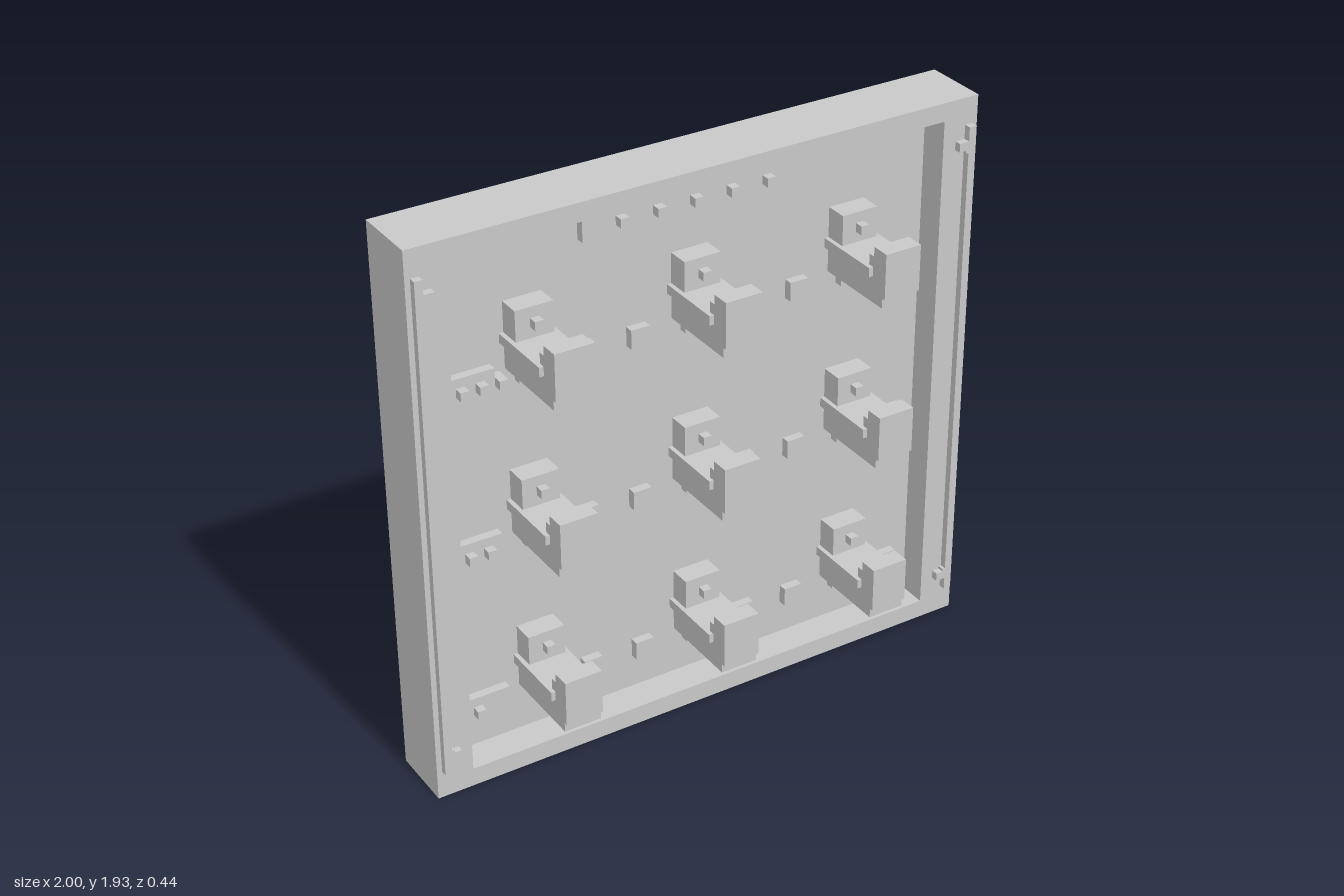
import * as THREE from 'three';

const W = 2, H = 1.935, BACK = -0.218, FRONT = 0.011, FLOOR = -0.1;

export function createModel() {
  const model = new THREE.Group();
  model.name = 'wallPanel';
  const grey = new THREE.MeshStandardMaterial({ color: 0xc8c8c8 });
  grey.name = 'lightGrey';

  // box given by its limits along each axis
  function box(name, parent, x0, x1, y0, y1, z0, z1) {
    const mesh = new THREE.Mesh(new THREE.BoxGeometry(x1 - x0, y1 - y0, z1 - z0), grey);
    mesh.position.set((x0 + x1) / 2, (y0 + y1) / 2, (z0 + z1) / 2);
    mesh.name = name;
    parent.add(mesh);
    return mesh;
  }
  const polygon = (points, Type) => new Type(points.map(([a, b]) => new THREE.Vector2(a, b)));
  const rect = (x0, x1, y0, y1, Type) => polygon([[x0, y0], [x1, y0], [x1, y1], [x0, y1]], Type);

  // frame around the recess, with a solid back
  const outline = rect(-W / 2, W / 2, 0, H, THREE.Shape);
  outline.holes.push(rect(-0.873, 0.873, 0.065, 1.872, THREE.Path));
  const frame = new THREE.Mesh(
    new THREE.ExtrudeGeometry(outline, { depth: FRONT - FLOOR, bevelEnabled: false }), grey);
  frame.position.z = FLOOR;
  frame.name = 'frame';
  model.add(frame);
  box('backSlab', model, -W / 2, W / 2, 0, H, BACK, FLOOR);
  box('backBoard', model, -0.873, 0.873, 0.102, 1.838, FLOOR, FLOOR + 0.01);

  // small cube studs used on plates and holders
  const stud = (parent, x, y, z0, z1) =>
    box('stud', parent, x - 0.015, x + 0.015, y - 0.015, y + 0.015, z0, z1);

  // holder: back plate, tray with a raised stepped lip, side ledges
  const trayProfile = polygon([
    [FLOOR, 0.245], [0.205, 0.245], [0.205, 0.278], [0.218, 0.278], [0.218, 0.436],
    [0.155, 0.436], [0.155, 0.403], [0.131, 0.403], [0.131, 0.336], [FLOOR, 0.336],
  ], THREE.Shape);
  const trayGeometry = new THREE.ExtrudeGeometry(trayProfile, { depth: 0.13, bevelEnabled: false });
  trayGeometry.rotateY(-Math.PI / 2).translate(0.065, 0, 0);
  function addHolder(x, y) {
    const holder = new THREE.Group();
    holder.name = 'holder';
    holder.position.set(x, y, 0);
    const tray = new THREE.Mesh(trayGeometry, grey);
    tray.name = 'tray';
    holder.add(tray);
    box('holderBackPlate', holder, -0.065, 0.065, 0.336, 0.47, FLOOR, -0.014);
    box('sideLedges', holder, -0.08, 0.08, 0.334, 0.366, FLOOR, 0.152);
    stud(holder, 0, 0.418, -0.014, 0.016);
    model.add(holder);
  }

  // three rows of holders, pegs and index plates
  for (let row = 0; row < 3; row++) {
    const y = row * 0.58;
    for (const x of [-0.58, 0, 0.58]) addHolder(x, y);
    for (let i = -3; i <= 4; i++) {
      const x = i * 0.1935;
      box('peg', model, x - 0.033, x + 0.033, y + 0.195, y + 0.261, FLOOR, -0.06);
    }
    box('indexPlate', model, -0.855, -0.695, y + 0.181, y + 0.274, FLOOR, -0.06);
    for (let i = 0; i <= row; i++) stud(model, -0.81 + i * 0.065, y + 0.227, FLOOR, -0.03);
  }

  // header plate with five studs
  box('headerPlate', model, -0.387, 0.387, 1.761, 1.851, FLOOR, -0.06);
  for (let i = -2; i <= 2; i++) stud(model, i * 0.129, 1.806, -0.06, -0.03);

  // side rails with a small catch at each end
  for (const s of [-1, 1]) {
    const sideBox = (name, a, b, y0, y1) =>
      box(name, model, Math.min(s * a, s * b), Math.max(s * a, s * b), y0, y1, FRONT - 0.002, 0.035);
    sideBox('sideRail', 0.955, 0.982, 0.1, 1.842);
    for (const top of [false, true]) {
      const span = (y0, y1) => (top ? [1.939 - y1, 1.939 - y0] : [y0, y1]);
      sideBox('catch', 0.92, 0.945, ...span(0.145, 0.175));
      sideBox('catchArm', 0.945, 0.955, ...span(0.145, 0.185));
    }
  }
  return model;
}
